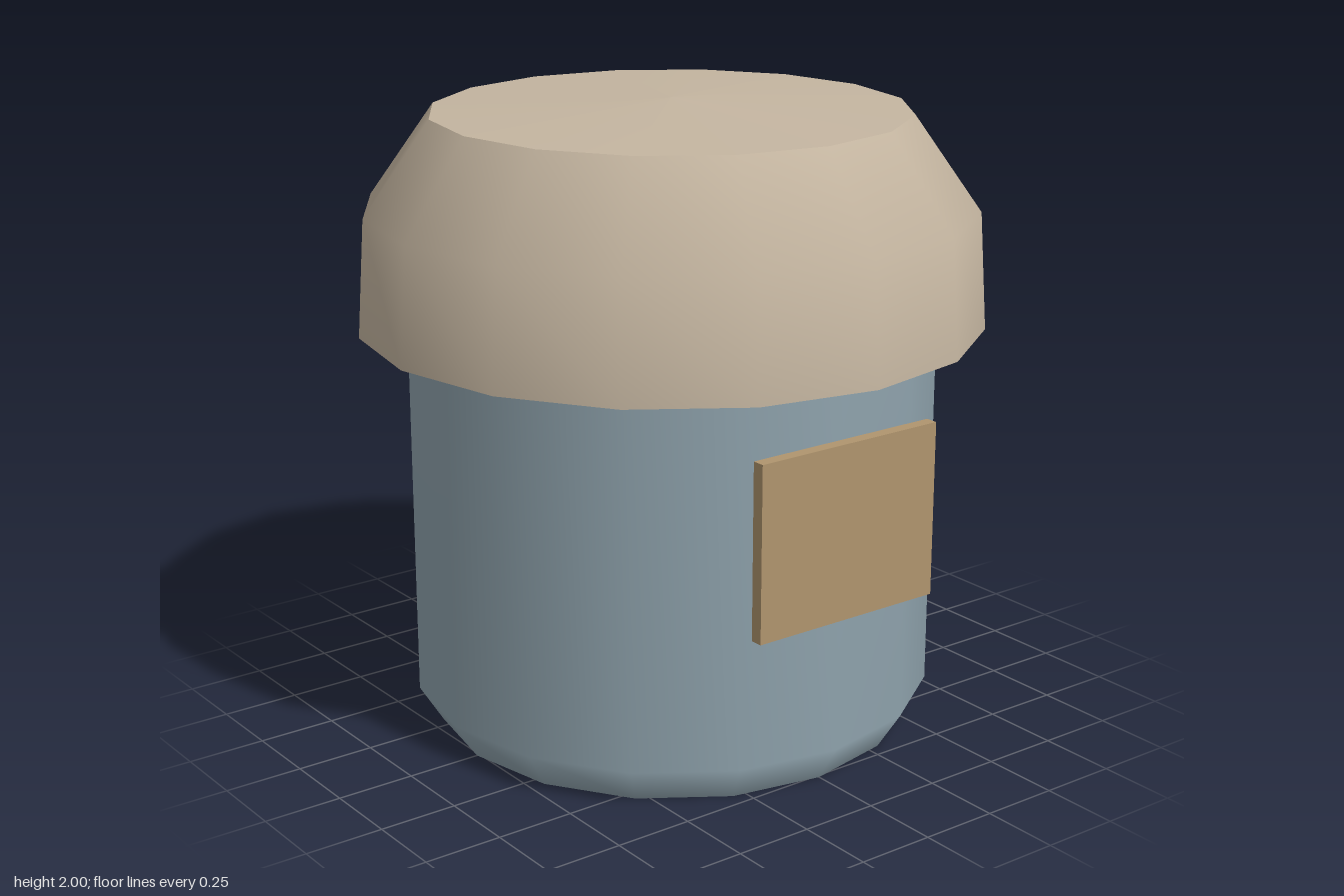
import * as THREE from 'three';

const SIDES = 16;

export function createModel() {
  const group = new THREE.Group();

  const bodyBlue = new THREE.MeshStandardMaterial({ color: 0x90a4ae, side: THREE.DoubleSide });
  bodyBlue.name = 'body blue grey';
  const lidBeige = new THREE.MeshStandardMaterial({ color: 0xc4b5a0, side: THREE.DoubleSide });
  lidBeige.name = 'lid beige';
  const labelTan = new THREE.MeshStandardMaterial({ color: 0xb0956e });
  labelTan.name = 'label tan';

  // Revolve a profile; separate profiles keep a hard edge between them
  function turned(name, profile, material) {
    const points = profile.map(([r, y]) => new THREE.Vector2(r, y));
    const mesh = new THREE.Mesh(new THREE.LatheGeometry(points, SIDES), material);
    mesh.name = name;
    group.add(mesh);
  }

  // Jar body with a bevelled foot, running up inside the lid
  turned('bodyBase', [[0, 0], [0.76, 0]], bodyBlue);
  turned('bodyWall', [[0.76, 0], [0.835, 0.12], [0.835, 1.8]], bodyBlue);

  // Overhanging lid, open underneath, with a shallow conical top
  turned('lidWall', [[0.985, 1.3], [0.96, 1.67], [0.75, 1.965]], lidBeige);
  turned('lidTop', [[0.75, 1.965], [0, 2]], lidBeige);

  // Flat label on the front
  const label = new THREE.Mesh(new THREE.BoxGeometry(0.665, 0.55, 0.04), labelTan);
  label.name = 'label';
  label.position.set(0, 0.838, 0.855);
  group.add(label);

  return group;
}
